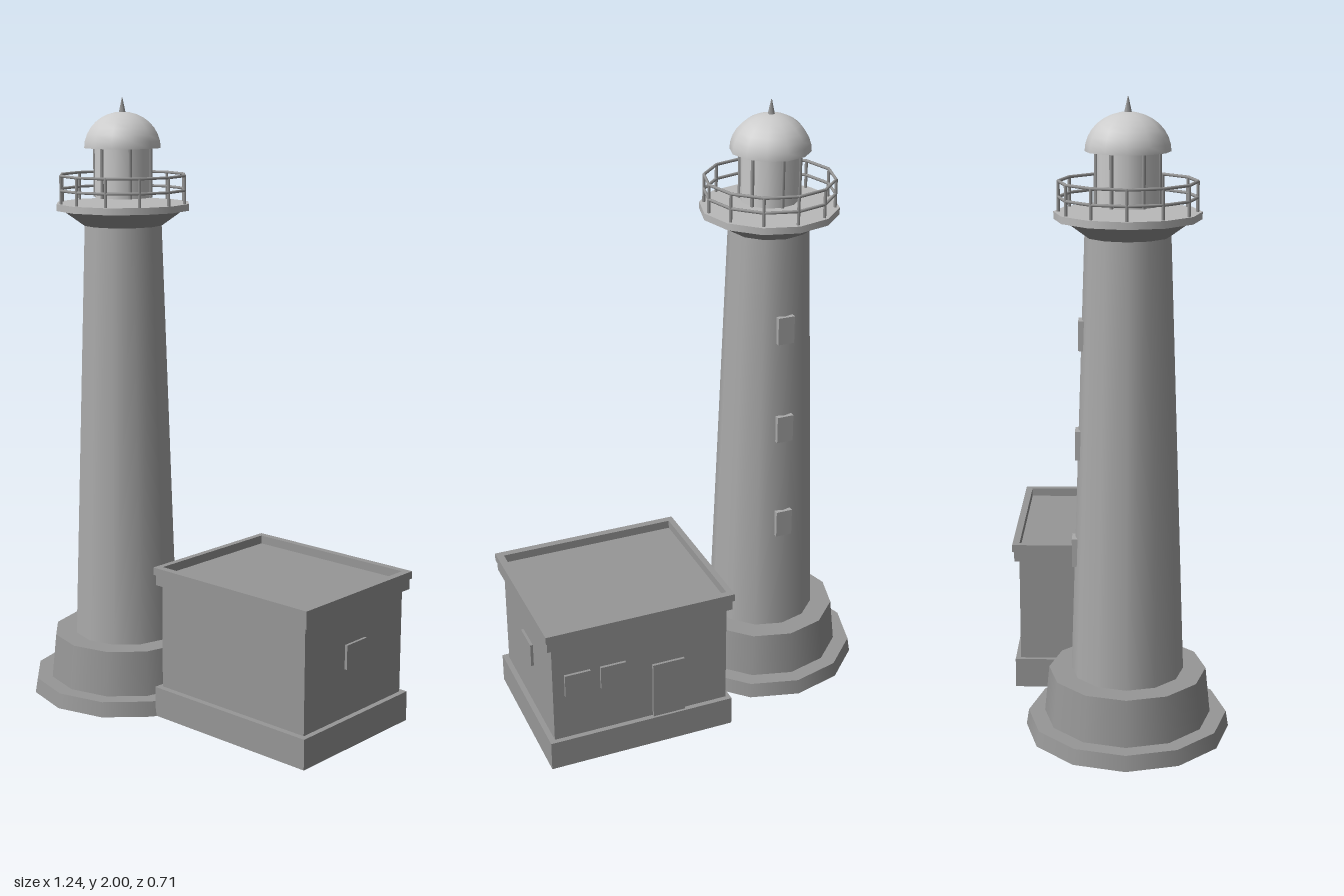
import * as THREE from 'three';

const SIDES = 12;
const paint = (color) => new THREE.MeshStandardMaterial({ color });
const light = paint(0xcccccc);
const floorGrey = paint(0xbababa);
const shaftGrey = paint(0xaaaaaa);
const stone = paint(0x979797);

function add(parent, name, material, geometry, x = 0, y = 0, z = 0) {
  const mesh = new THREE.Mesh(geometry, material);
  mesh.name = name;
  mesh.position.set(x, y, z);
  parent.add(mesh);
  return mesh;
}

// Tapered round section between two heights
function drum(parent, name, material, rBottom, rTop, y0, y1, sides = SIDES) {
  const geometry = new THREE.CylinderGeometry(rTop, rBottom, y1 - y0, sides);
  return add(parent, name, material, geometry, 0, (y0 + y1) / 2, 0);
}

// Stone box given by its limits on each axis
function block(parent, name, material, x0, x1, y0, y1, z0, z1) {
  const geometry = new THREE.BoxGeometry(x1 - x0, y1 - y0, z1 - z0);
  return add(parent, name, material, geometry, (x0 + x1) / 2, (y0 + y1) / 2, (z0 + z1) / 2);
}

function createTower() {
  const tower = new THREE.Group();
  tower.name = 'tower';

  // Foundation and shaft
  drum(tower, 'foundation', stone, 0.325, 0.317, 0, 0.05);
  drum(tower, 'base', stone, 0.265, 0.25, 0.05, 0.2);
  drum(tower, 'shaft', shaftGrey, 0.178, 0.13, 0.2, 1.59);

  // Shaft windows on the back
  for (const y of [0.595, 0.943, 1.288]) {
    const r = 0.178 - 0.048 * (y - 0.2) / 1.39;
    block(tower, 'towerWindow', shaftGrey, -0.028, 0.028, y - 0.046, y + 0.046, -r - 0.009, -r + 0.03);
  }

  // Gallery
  drum(tower, 'galleryCorbel', stone, 0.13, 0.2, 1.59, 1.64);
  drum(tower, 'galleryFloor', floorGrey, 0.222, 0.222, 1.64, 1.662);

  // Railing
  const railing = new THREE.Group();
  railing.name = 'railing';
  tower.add(railing);
  const railRadius = 0.207;
  for (const y of [1.705, 1.752]) {
    const rail = new THREE.TorusGeometry(railRadius, 0.005, 6, SIDES).rotateX(Math.PI / 2);
    add(railing, 'rail', stone, rail, 0, y, 0);
  }
  for (let i = 0; i < SIDES; i++) {
    const a = (i / SIDES) * Math.PI * 2;
    add(railing, 'railingPost', stone, new THREE.CylinderGeometry(0.005, 0.005, 0.095, 6),
      railRadius * Math.sin(a), 1.706, railRadius * Math.cos(a));
  }

  // Lantern room with glazing bars
  drum(tower, 'lantern', light, 0.093, 0.093, 1.68, 1.845);
  for (let i = 0; i < 6; i++) {
    const a = (i / 6) * Math.PI * 2;
    add(tower, 'lanternBar', stone, new THREE.CylinderGeometry(0.006, 0.006, 0.165, 6),
      0.094 * Math.sin(a), 1.7625, 0.094 * Math.cos(a));
  }

  // Dome and spike
  const dome = new THREE.SphereGeometry(0.128, SIDES, 8, 0, Math.PI * 2, 0, Math.PI / 2).scale(1, 0.9, 1);
  add(tower, 'dome', light, dome, 0, 1.84, 0);
  add(tower, 'domeUnderside', light, new THREE.CircleGeometry(0.128, SIDES).rotateX(Math.PI / 2), 0, 1.84, 0);
  drum(tower, 'spike', stone, 0.013, 0.001, 1.945, 2, 6);
  return tower;
}

// Rectangular ring with an open centre
function frame(parent, name, x0, x1, z0, z1, y0, y1, hole) {
  const outline = (a, b, c, d) => [[a, d], [b, d], [b, c], [a, c]].map(([x, z]) => new THREE.Vector2(x, -z));
  const shape = new THREE.Shape(outline(x0, x1, z0, z1));
  shape.holes.push(new THREE.Path(outline(...hole)));
  const geometry = new THREE.ExtrudeGeometry(shape, { depth: y1 - y0, bevelEnabled: false }).rotateX(-Math.PI / 2);
  return add(parent, name, stone, geometry, 0, y0, 0);
}

function createHouse() {
  const house = new THREE.Group();
  house.name = 'house';

  // Walls and flat roof
  block(house, 'plinth', stone, -0.015, 0.615, 0, 0.1, -0.353, 0.178);
  block(house, 'walls', stone, 0, 0.597, 0.1, 0.482, -0.336, 0.158);

  // Stepped cornice with a raised rim
  const inner = [0.001, 0.595, -0.335, 0.156];
  frame(house, 'lowerCornice', -0.014, 0.614, -0.352, 0.174, 0.45, 0.485, inner);
  frame(house, 'upperCornice', -0.019, 0.619, -0.358, 0.18, 0.485, 0.51, inner);

  // Door and windows
  block(house, 'door', stone, 0.15, 0.26, 0.1, 0.3, -0.345, -0.33);
  for (const x of [0.395, 0.515]) {
    block(house, 'backWindow', stone, x - 0.043, x + 0.043, 0.26, 0.34, -0.345, -0.33);
  }
  block(house, 'sideWindow', stone, 0.59, 0.606, 0.26, 0.34, -0.14, -0.04);
  return house;
}

export function createModel() {
  const model = new THREE.Group();
  model.name = 'lighthouse';
  const tower = createTower();
  tower.position.set(-0.295, 0, 0.03);
  model.add(tower, createHouse());
  return model;
}
